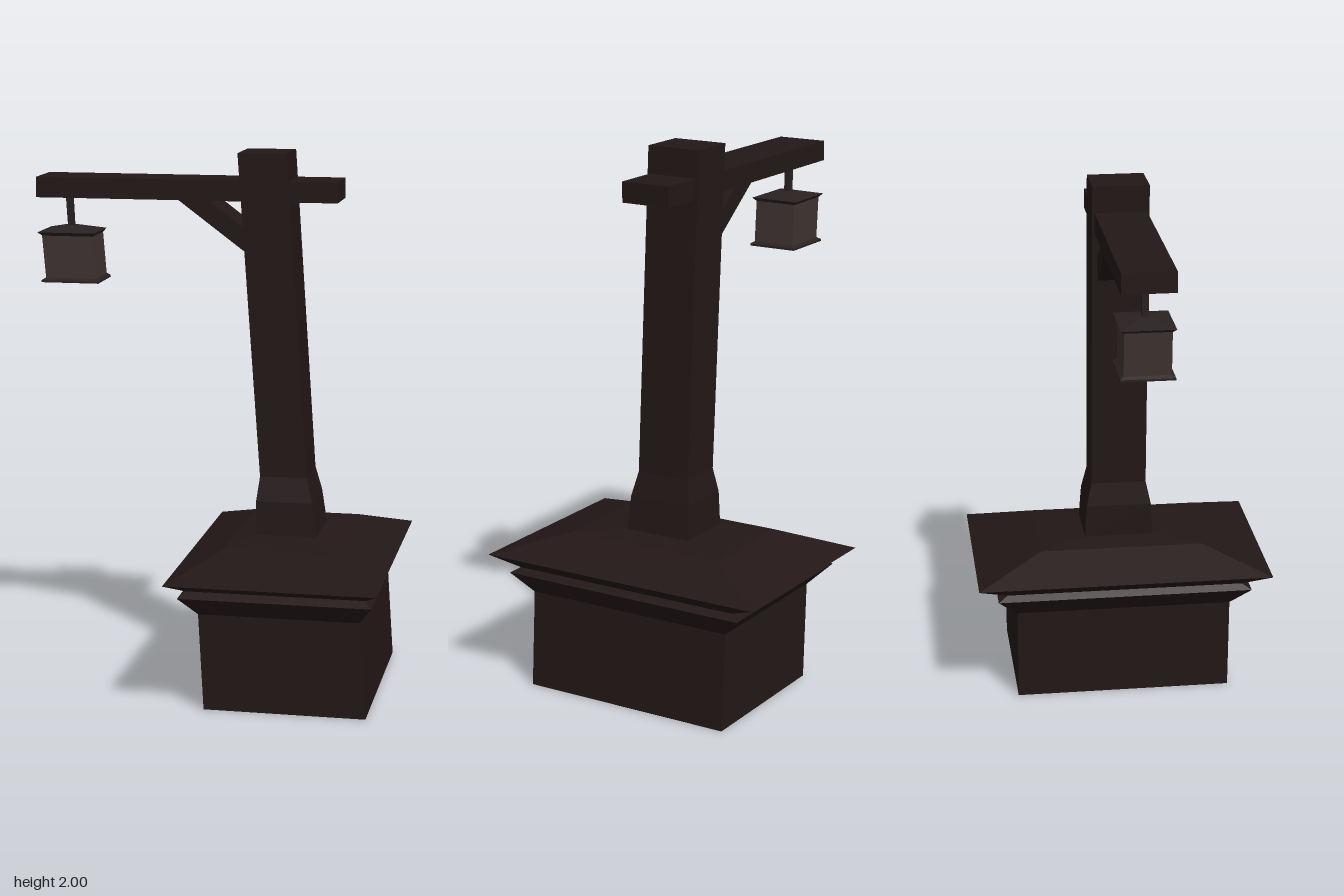
import * as THREE from 'three';

const wood = new THREE.MeshStandardMaterial({ color: 0x231717, flatShading: true });
const metal = new THREE.MeshStandardMaterial({ color: 0x2a2121, flatShading: true });
const pane = new THREE.MeshStandardMaterial({ color: 0x3e3331, flatShading: true });

// Closed solid through rectangular sections [y, xMin, xMax, halfDepth], listed bottom to top
function loft(name, sections, material) {
  const pos = [];
  const rings = sections.map(([y, x0, x1, d]) => [[x0, y, d], [x1, y, d], [x1, y, -d], [x0, y, -d]]);
  const quad = (a, b, c, d) => pos.push(...a, ...b, ...c, ...a, ...c, ...d);
  for (let i = 0; i < rings.length - 1; i++) {
    const lo = rings[i], hi = rings[i + 1];
    for (let k = 0; k < 4; k++) {
      const n = (k + 1) % 4;
      quad(lo[k], lo[n], hi[n], hi[k]);
    }
  }
  quad(...rings[rings.length - 1]);
  quad(...[...rings[0]].reverse());
  const geo = new THREE.BufferGeometry();
  geo.setAttribute('position', new THREE.Float32BufferAttribute(pos, 3));
  geo.computeVertexNormals();
  const mesh = new THREE.Mesh(geo, material);
  mesh.name = name;
  return mesh;
}

export function createModel() {
  const model = new THREE.Group();
  model.name = 'lanternPost';

  // Leaning plinth with stepped cornice and sloping top
  model.add(loft('plinth', [
    [0, 0.02, 0.615, 0.41],
    [0.36, 0, 0.59, 0.41],
    [0.435, -0.062, 0.638, 0.485],
    [0.455, -0.04, 0.615, 0.45],
    [0.50, -0.10, 0.667, 0.56],
    [0.58, 0.075, 0.485, 0.31],
    [0.595, 0.16, 0.39, 0.13],
  ], wood));

  // Tilted post with flared foot
  model.add(loft('post', [
    [0.585, 0.163, 0.39, 0.132],
    [0.72, 0.161, 0.37, 0.124],
    [0.81, 0.172, 0.347, 0.105],
    [2, 0.085, 0.265, 0.105],
  ], wood));

  // Cross beam
  model.add(loft('beam', [
    [1.825, -0.67, 0.45, 0.096],
    [1.90, -0.67, 0.45, 0.096],
  ], wood));

  // Diagonal brace under the beam
  const outline = new THREE.Shape([[-0.145, 1.83], [0.13, 1.625], [0.13, 1.71], [-0.03, 1.83]]
    .map(([x, y]) => new THREE.Vector2(x, y)));
  const brace = new THREE.Mesh(
    new THREE.ExtrudeGeometry(outline, { depth: 0.17, bevelEnabled: false }), wood);
  brace.position.z = -0.085;
  brace.name = 'brace';
  model.add(brace);

  // Hanging lantern
  const lantern = new THREE.Group();
  lantern.name = 'lantern';
  lantern.add(
    loft('hanger', [
      [1.70, -0.572, -0.55, 0.012],
      [1.83, -0.58, -0.556, 0.012],
    ], metal),
    loft('lanternCap', [
      [1.682, -0.652, -0.462, 0.083],
      [1.695, -0.668, -0.452, 0.096],
      [1.714, -0.588, -0.538, 0.025],
    ], metal),
    loft('lanternBody', [
      [1.522, -0.64, -0.45, 0.083],
      [1.685, -0.654, -0.463, 0.083],
    ], pane),
    loft('lanternBase', [
      [1.51, -0.654, -0.438, 0.096],
      [1.518, -0.654, -0.438, 0.096],
      [1.526, -0.641, -0.449, 0.084],
    ], metal),
  );
  model.add(lantern);

  return model;
}
